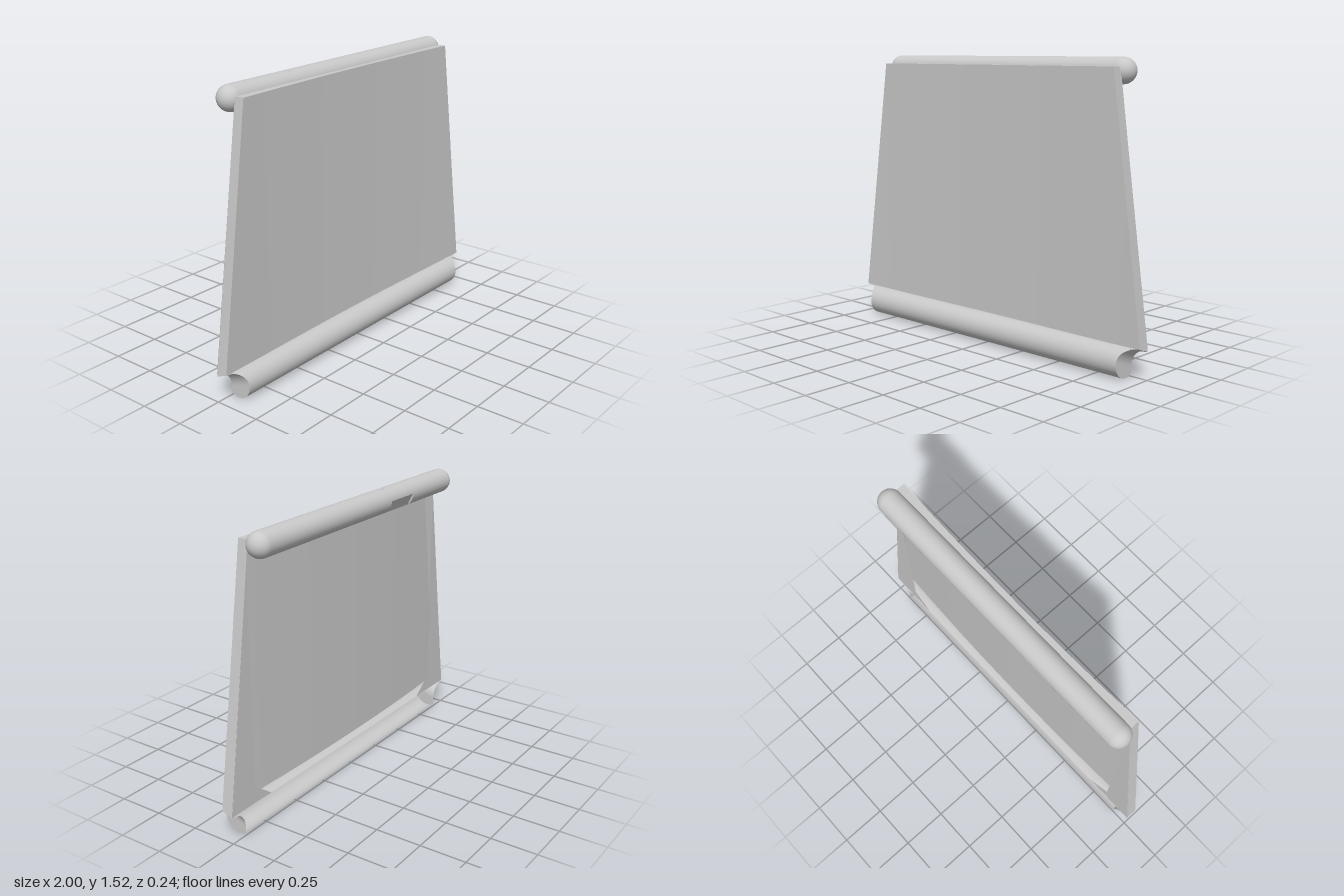
import * as THREE from 'three';

const grey = new THREE.MeshStandardMaterial({ color: 0xc9c9c9, side: THREE.DoubleSide });
grey.name = 'plain grey';

// Surface from a rule (u, v in 0..1) -> [x, y, z]
function surface(rule, nu, nv) {
  const g = new THREE.PlaneGeometry(1, 1, nu, nv);
  const p = g.attributes.position;
  for (let i = 0; i < p.count; i++) p.setXYZ(i, ...rule(p.getX(i) + 0.5, p.getY(i) + 0.5));
  g.computeVertexNormals();
  return g;
}

export function createModel() {
  const model = new THREE.Group();
  const add = (name, geometry, parent = model) => {
    const mesh = new THREE.Mesh(geometry, grey);
    mesh.name = name;
    parent.add(mesh);
    return mesh;
  };
  const mix = THREE.MathUtils.lerp;

  // Folded tray: thin bowed front skin, open at the back
  const topY = 1.48, cornerY = 0.16;
  const halfWidth = y => 0.812 + 0.188 * (topY - y) / (topY - cornerY);
  const frontZ = x => 0.037 + 0.026 * x * x;
  add('frontSkin', surface((u, v) => {
    const s = u * 2 - 1, bottom = 0.155 + 0.009 * s ** 4;
    const x = s * halfWidth(mix(cornerY, topY, v));
    return [x, mix(bottom, topY, v), frontZ(x)];
  }, 24, 10));
  add('topFold', surface((u, v) => {
    const x = (u * 2 - 1) * 0.812;
    return [x, topY, v * frontZ(x)];
  }, 24, 1));

  // Side walls, return flanges behind them, and sloping corner undersides
  for (const s of [1, -1]) {
    const side = s > 0 ? 'left' : 'right';
    add(side + 'Wall', surface((u, v) => {
      const hw = halfWidth(mix(cornerY, topY, v));
      const z = u * frontZ(hw);
      return [s * hw, mix(0.14 + 0.38 * z, topY, v), z];
    }, 1, 10));
    const outline = [[0.826, 1.38], [0.826, 0.235], [0.7, 0.141], [1, 0.141], [1, 0.16]];
    const shape = new THREE.Shape(outline.map(([x, y]) => new THREE.Vector2(s * x, y)));
    add(side + 'Flange', new THREE.ShapeGeometry(shape).translate(0, 0, 0.001));
    add(side + 'Underside', surface((u, v) => {
      const z = v * frontZ(1);
      return [s * mix(0.94, 1, u), 0.14 + 0.38 * z - 0.008 * (1 - u), z];
    }, 1, 1));
  }

  // Lower channel: round skin open at the back, ends scooped by a tilted quarter circle
  const channel = new THREE.Group();
  channel.name = 'lowerChannel';
  model.add(channel);
  const R = 0.0775, cz = 0.043, open = Math.PI - Math.acos(cz / R);
  const endX = (y, z) => {
    const h = y - 0.38 * z - 0.05;
    return h < 0 ? 0.905 : 1 - Math.sqrt(Math.max(0.0002, 0.095 ** 2 - h * h));
  };
  add('channelSkin', surface((u, v) => {
    const a = (v * 2 - 1) * open, y = R + R * Math.sin(a), z = cz + R * Math.cos(a);
    return [(u * 2 - 1) * endX(y, z), y, z];
  }, 1, 48), channel);
  for (const s of [1, -1]) {
    add(s > 0 ? 'leftChannelEnd' : 'rightChannelEnd', surface((u, v) => {
      const a = (v - 0.5) * Math.PI, y = R + R * Math.sin(a), w = R * Math.cos(a);
      const z = mix(Math.max(0, cz - w), cz + w, u);
      return [s * endX(y, z), y, z];
    }, 8, 24), channel);
  }

  // Upper round bar with domed ends and a flat at the lower back
  const bar = new THREE.Group();
  bar.name = 'upperBar';
  bar.position.set(0, 1.46, -0.053);
  model.add(bar);
  const r = 0.065, end = 0.79, x0 = -0.41, x1 = -0.2;
  const from = Math.PI - 0.09, span = 1.14;
  const tube = (name, a, b, start = 0, length = Math.PI * 2) => {
    const g = new THREE.CylinderGeometry(r, r, b - a, 48, 1, true, start, length);
    add(name, g.rotateZ(Math.PI / 2).translate((a + b) / 2, 0, 0), bar);
  };
  tube('barRight', -end, x0);
  tube('barMiddle', x0, x1, from + span, Math.PI * 2 - span);
  tube('barLeft', x1, end);
  for (const s of [1, -1])
    add(s > 0 ? 'leftDome' : 'rightDome',
      new THREE.SphereGeometry(r, 40, 24).translate(s * end, 0, 0), bar);

  // Flat cut across the bar, with a wall at each end
  add('flatFloor', new THREE.PlaneGeometry(x1 - x0, 2 * r * Math.sin(span / 2))
    .translate((x0 + x1) / 2, 0, r * Math.cos(span / 2)).rotateX(-from - span / 2), bar);
  for (const x of [x0, x1])
    add('flatEnd', new THREE.CircleGeometry(r, 16, from, span)
      .rotateY(-Math.PI / 2).translate(x, 0, 0), bar);

  return model;
}
